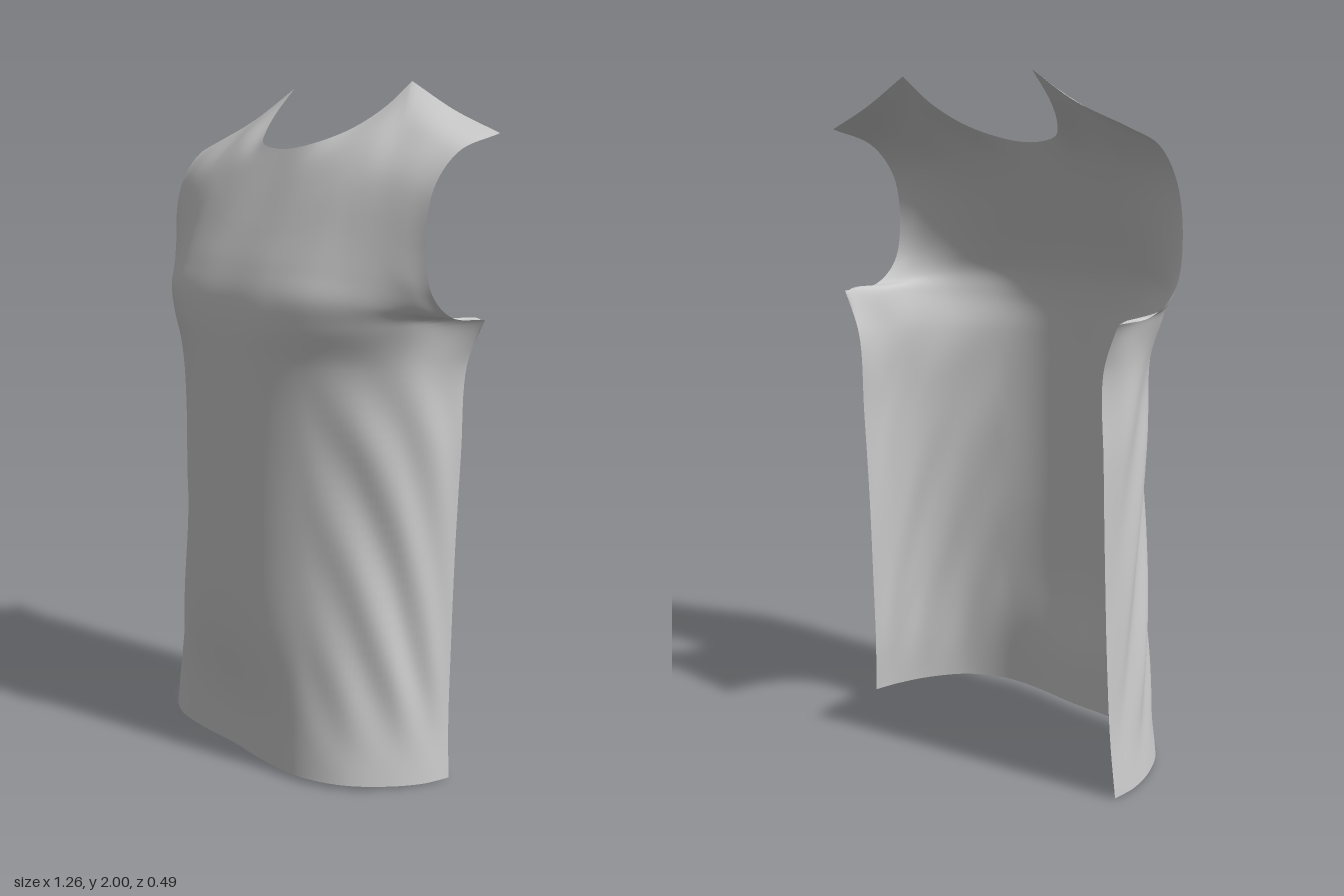
import * as THREE from 'three';

// Half cross-section of the body, centre to side seam: [share of width, share of depth]
const SECTION = [[0, 1], [0.3, 0.99], [0.56, 0.9], [0.78, 0.71], [0.92, 0.46], [0.985, 0.22], [1, 0]];

// Body levels from hem to underarm: [y, half width, front z, seam z, fullness of the flank]
const BODY = [
  [0.0, 0.557, 0.205, -0.172, 0.035],
  [0.17, 0.543, 0.207, -0.18, 0.025],
  [0.4, 0.537, 0.238, -0.19, -0.015],
  [0.68, 0.535, 0.244, -0.2, -0.035],
  [0.96, 0.538, 0.244, -0.212, -0.035],
  [1.21, 0.543, 0.242, -0.222, -0.018],
];

// Chest and yoke levels, centre to armhole; the last one is neckline plus shoulder seam
const CHEST = [
  [[0, 1.32, 0.237], [0.18, 1.32, 0.233], [0.33, 1.325, 0.19], [0.46, 1.33, 0.1], [0.53, 1.335, 0], [0.56, 1.34, -0.12], [0.602, 1.345, -0.23]],
  [[0, 1.4, 0.224], [0.18, 1.4, 0.221], [0.33, 1.4, 0.191], [0.455, 1.395, 0.12], [0.53, 1.385, 0.05], [0.58, 1.37, -0.025], [0.607, 1.36, -0.1]],
  [[0, 1.48, 0.193], [0.17, 1.48, 0.19], [0.32, 1.475, 0.165], [0.435, 1.465, 0.118], [0.52, 1.455, 0.068], [0.575, 1.44, 0.025], [0.613, 1.43, -0.02]],
];
const YOKE = [
  [[0, 1.57, 0.148], [0.16, 1.57, 0.145], [0.3, 1.57, 0.125], [0.4, 1.57, 0.095], [0.48, 1.565, 0.067], [0.55, 1.56, 0.037], [0.613, 1.55, 0.003]],
  [[0, 1.67, 0.094], [0.15, 1.68, 0.088], [0.28, 1.7, 0.062], [0.37, 1.725, 0.03], [0.44, 1.735, 0.008], [0.53, 1.73, -0.01], [0.612, 1.7, -0.02]],
  [[0, 1.75, 0.05], [0.13, 1.765, 0.04], [0.24, 1.8, 0], [0.32, 1.845, -0.06], [0.39, 1.86, -0.105], [0.5, 1.84, -0.11], [0.62, 1.8, -0.1]],
  [[0, 1.81, 0.017], [0.12, 1.825, 0], [0.205, 1.865, -0.07], [0.258, 1.925, -0.15], [0.28, 2, -0.235], [0.45, 1.915, -0.243], [0.632, 1.85, -0.24]],
];

const bodyRow = ([y, w, front, seam, full]) => SECTION.map(([s, t]) => {
  const hem = y === 0 ? 0.014 * (1 - s ** 8) : 0;
  return [w * s, y + hem, seam + (front - seam) * t + full * Math.sin(Math.PI * s * s)];
});

// Smooth curve through points, with sharp corners at the given point numbers
function curveThrough(points, corners = []) {
  const stops = [0, ...corners, points.length - 1];
  const pieces = stops.slice(1).map((end, k) => new THREE.CatmullRomCurve3(points.slice(stops[k], end + 1)));
  return (t) => {
    const s = t * (points.length - 1);
    const k = stops.findIndex((stop) => s < stop + 1e-9 && stop > 0) - 1;
    return pieces[k].getPoint((s - stops[k]) / (stops[k + 1] - stops[k]));
  };
}

// Mirror a half row into a curve from the right edge to the left edge
function rowCurve(half, corners) {
  const left = half.map(([x, y, z]) => new THREE.Vector3(x, y, z));
  const right = half.slice(1).reverse().map(([x, y, z]) => new THREE.Vector3(-x, y, z));
  return curveThrough([...right, ...left], corners);
}

// Soft diagonal drape folds on the flanks, fading at the centre, hem and chest
function foldDepth(u, y) {
  const a = Math.abs(u);
  const across = Math.sin(Math.PI * THREE.MathUtils.clamp((a - 0.33) / 0.67, 0, 1));
  const up = THREE.MathUtils.smoothstep(y, 0.03, 0.35) * (1 - THREE.MathUtils.smoothstep(y, 1.0, 1.32));
  const phase = (y + 1.5 * a - 0.5 * a * y) * 21 + (u > 0 ? 0.7 : 0);
  return 0.009 * across * up * (Math.sin(phase) + 0.4 * Math.sin(phase * 0.53 + 1));
}

function createPanel() {
  const halves = [...BODY.map(bodyRow), ...CHEST, ...YOKE];
  // The top row turns sharply where the neckline meets the shoulder seams
  const rows = halves.map((half, k) => rowCurve(half, k === halves.length - 1 ? [2, 10] : []));
  const nu = 96, nv = (rows.length - 1) * 8;
  const position = new Float32Array((nu + 1) * (nv + 1) * 3);
  const index = [];
  for (let i = 0; i <= nu; i++) {
    // The outer edges turn sharply from side seam to armhole
    const corners = i === 0 || i === nu ? [BODY.length] : [];
    const column = curveThrough(rows.map((row) => row(i / nu)), corners);
    for (let j = 0; j <= nv; j++) {
      column(j / nv).toArray(position, (j * (nu + 1) + i) * 3);
      if (i < nu && j < nv) {
        const a = j * (nu + 1) + i, b = a + 1, c = a + nu + 1, d = c + 1;
        index.push(a, b, d, a, d, c);
      }
    }
  }
  const geometry = new THREE.BufferGeometry();
  geometry.setAttribute('position', new THREE.BufferAttribute(position, 3));
  geometry.setIndex(index);
  geometry.computeVertexNormals();

  // Push the cloth along its normals to form the folds
  const p = geometry.attributes.position, n = geometry.attributes.normal;
  for (let k = 0; k < p.count; k++) {
    const d = foldDepth((k % (nu + 1)) / nu * 2 - 1, p.getY(k));
    p.setXYZ(k, p.getX(k) + n.getX(k) * d, p.getY(k) + n.getY(k) * d, p.getZ(k) + n.getZ(k) * d);
  }
  geometry.computeVertexNormals();
  return geometry;
}

export function createModel() {
  const group = new THREE.Group();
  group.name = 'sleevelessShirtFront';
  const cloth = new THREE.MeshStandardMaterial({ color: 0xcccccc, side: THREE.DoubleSide });
  const panel = new THREE.Mesh(createPanel(), cloth);
  panel.name = 'frontPanel';
  group.add(panel);
  return group;
}
